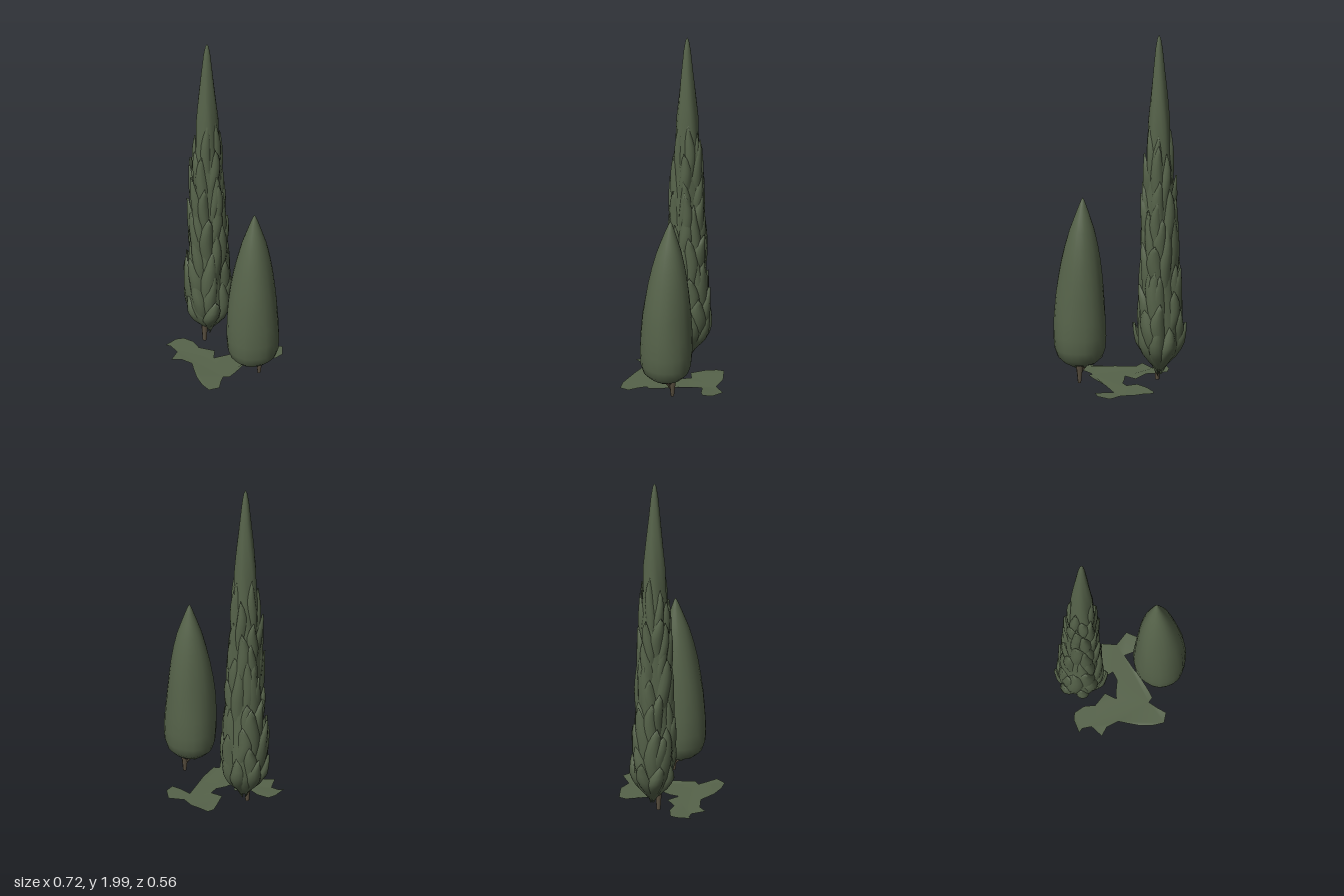
import * as THREE from 'three';
import { mergeGeometries, mergeVertices } from 'three/addons/utils/BufferGeometryUtils.js';

const material = (name, color) => new THREE.MeshStandardMaterial({ name, color, side: THREE.DoubleSide });

// seeded random numbers
function makeRandom(seed) {
  return () => {
    seed = (seed * 16807) % 2147483647;
    return seed / 2147483647;
  };
}

// radius at a height, read from a [radius, height] profile
function radiusAt(profile, y) {
  for (let i = 1; i < profile.length; i++) {
    const [r0, y0] = profile[i - 1], [r1, y1] = profile[i];
    if (y <= y1) return r0 + (r1 - r0) * Math.max(0, (y - y0) / (y1 - y0));
  }
  return 0;
}

function smooth(geo) {
  geo.deleteAttribute('uv');
  geo.deleteAttribute('normal');
  const merged = mergeVertices(geo, 1e-4);
  merged.computeVertexNormals();
  return merged;
}

// smooth body turned from a profile, then reshaped by a rule
function turnedBody(profile, segments, rule) {
  const geo = new THREE.LatheGeometry(profile.map(([r, y]) => new THREE.Vector2(r, y)), segments);
  const p = geo.attributes.position;
  for (let i = 0; i < p.count; i++) {
    const angle = Math.atan2(p.getX(i), p.getZ(i));
    const [k, dx, dy, dz] = rule(angle, p.getY(i));
    p.setXYZ(i, p.getX(i) * k + dx, p.getY(i) + dy, p.getZ(i) * k + dz);
  }
  return smooth(geo);
}

// the tall tree's axis drifts slightly forward with height
const tallDrift = y => 0.012 * Math.min(1, y);

// pointed leaf spray wrapped around the tall tree
function spray(profile, angle, y0, height, halfAngle, lift) {
  const geo = new THREE.PlaneGeometry(1, 1, 6, 7);
  const p = geo.attributes.position;
  for (let i = 0; i < p.count; i++) {
    const u = p.getX(i) * 2, v = p.getY(i) + 0.5;
    const width = Math.pow(Math.max(0, Math.sin(Math.PI * (0.16 + 0.84 * v))), 0.75);
    const y = y0 + height * (v - 0.12 * u * u * (1 - v));
    const a = angle + u * halfAngle * width + 0.12 * Math.sin(v * 5 + angle * 3);
    const bulge = (1 - u * u) * Math.sin(Math.PI * Math.min(1, v * 0.75 + 0.12));
    const r = radiusAt(profile, y) * (0.74 + 0.24 * bulge + lift * v * v);
    p.setXYZ(i, Math.sin(a) * r, y, Math.cos(a) * r + tallDrift(y));
  }
  return smooth(geo);
}

function tube(points, r, segments) {
  const curve = new THREE.CatmullRomCurve3(points.map(q => new THREE.Vector3(...q)));
  return new THREE.TubeGeometry(curve, segments, r, 6);
}

function addMesh(name, geo, mat, parent) {
  const m = new THREE.Mesh(geo, mat);
  m.name = name;
  parent.add(m);
  return m;
}

function createTallTree(leaf, bark) {
  const tree = new THREE.Group();
  tree.name = 'tallCypress';
  tree.position.set(-0.221, 0, -0.029);
  const outer = [[0.012, 0.07], [0.055, 0.11], [0.1, 0.16], [0.126, 0.22], [0.13, 0.32], [0.122, 0.45],
    [0.113, 0.6], [0.105, 0.8], [0.097, 1], [0.087, 1.2], [0.076, 1.35], [0.061, 1.5], [0.047, 1.65],
    [0.032, 1.8], [0.02, 1.92], [0.01, 1.98], [0, 2]];

  // inner column, full width towards the tip
  const core = outer.map(([r, y]) => [r * (y < 1.45 ? 0.82 : 0.97), y]);
  addMesh('tallCore', turnedBody(core, 18, (a, y) => [
    1 + 0.05 * Math.sin(a * 5 + y * 6) * (y < 1.7 ? 1 : 0.4), 0, 0, tallDrift(y),
  ]), leaf, tree);

  // staggered rows of overlapping sprays
  const random = makeRandom(77);
  const sprays = [];
  const rows = 10;
  for (let row = 0; row < rows; row++) {
    const t = row / (rows - 1);
    const count = t < 0.7 ? 7 : 5;
    for (let i = 0; i < count; i++) {
      const angle = ((i + (row % 2) / 2 + (random() - 0.5) * 0.6) / count) * Math.PI * 2;
      const y0 = 0.08 + t * 1.06 + (random() - 0.5) * 0.1 * Math.min(1, row);
      sprays.push(spray(outer, angle, y0, 0.22 + random() * 0.14, 0.42 + random() * 0.16, 0.04 + random() * 0.28));
    }
  }
  addMesh('tallSprays', mergeGeometries(sprays), leaf, tree);

  // trunk
  const trunk = addMesh('tallTrunk', new THREE.CylinderGeometry(0.02, 0.011, 0.14, 8), bark, tree);
  trunk.position.set(0.006, 0.08, 0.033);
  return tree;
}

function createSmallTree(leaf, bark) {
  const tree = new THREE.Group();
  tree.name = 'smallCypress';
  tree.position.set(0.211, 0, 0.012);

  // smooth teardrop crown, hollowed underneath
  const crown = [[0.012, 0.19], [0.04, 0.165], [0.062, 0.132], [0.092, 0.145], [0.122, 0.175], [0.138, 0.225],
    [0.143, 0.3], [0.14, 0.4], [0.132, 0.52], [0.121, 0.62], [0.107, 0.72], [0.09, 0.81], [0.069, 0.9],
    [0.046, 0.97], [0.024, 1.035], [0.009, 1.075], [0, 1.09]];
  addMesh('smallCrown', turnedBody(crown, 22, (a, y) => {
    const lean = Math.max(0, (y - 0.5) / 0.6);
    const ragged = y < 0.14 ? 0.012 * Math.sin(a * 7) : 0;
    return [1 + 0.02 * Math.sin(a * 3 + y * 7) + 0.012 * Math.sin(a * 7 - y * 9), -0.011 * lean, ragged, -0.022 * lean];
  }), leaf, tree);

  // tapered trunk and the twigs fanning out from it
  const stem = new THREE.CylinderGeometry(0.02, 0.009, 0.1, 6);
  stem.translate(0.01, 0.08, -0.036);
  const wood = [stem, tube([[0.01, 0.11, -0.034], [0.006, 0.15, -0.02], [0, 0.22, 0]], 0.012, 4)];
  for (let i = 0; i < 9; i++) {
    const a = (i / 9) * Math.PI * 2, s = Math.sin(a), c = Math.cos(a);
    wood.push(tube([[0.01, 0.07 + 0.01 * (i % 3), -0.03], [s * 0.03, 0.12, c * 0.03 - 0.012], [s * 0.085, 0.165, c * 0.085]], 0.005, 4));
  }
  addMesh('smallTrunk', mergeGeometries(wood), bark, tree);
  return tree;
}

// thin, gently rippled mat of ground cover
function createGroundCover(leaf) {
  const outline = [
    [-0.145, -0.235], [-0.09, -0.245], [-0.04, -0.252], [0.035, -0.228], [0.105, -0.28], [0.163, -0.232],
    [0.168, -0.18], [0.125, -0.163], [0.06, -0.157], [0.085, -0.07], [0.11, 0], [0.13, 0.07], [0.14, 0.12],
    [0.115, 0.14], [0.15, 0.185], [0.188, 0.225], [0.162, 0.277], [0.097, 0.275], [0.025, 0.253], [-0.03, 0.228],
    [-0.075, 0.205], [-0.145, 0.218], [-0.183, 0.26], [-0.222, 0.19], [-0.275, 0.19], [-0.297, 0.21],
    [-0.305, 0.13], [-0.29, 0.09], [-0.23, 0.07], [-0.17, 0.08], [-0.1, 0.025], [-0.05, 0.073], [-0.038, 0.025],
    [-0.017, -0.03], [-0.027, -0.08], [-0.09, -0.062], [-0.13, -0.14], [-0.152, -0.195],
  ];
  const geo = new THREE.ShapeGeometry(new THREE.Shape(outline.map(([x, z]) => new THREE.Vector2(x, -z))));
  geo.rotateX(-Math.PI / 2);
  const p = geo.attributes.position;
  for (let i = 0; i < p.count; i++) {
    p.setY(i, 0.016 + 0.008 * Math.sin(p.getX(i) * 23) * Math.cos(p.getZ(i) * 17));
  }
  geo.computeVertexNormals();
  const cover = new THREE.Mesh(geo, leaf);
  cover.name = 'groundCover';
  return cover;
}

export function createModel() {
  const leaf = material('cypressGreen', 0x56634a);
  const bark = material('barkBrown', 0x5a5040);
  const model = new THREE.Group();
  model.name = 'cypressTrees';
  model.add(createTallTree(leaf, bark), createSmallTree(leaf, bark), createGroundCover(leaf));
  return model;
}
